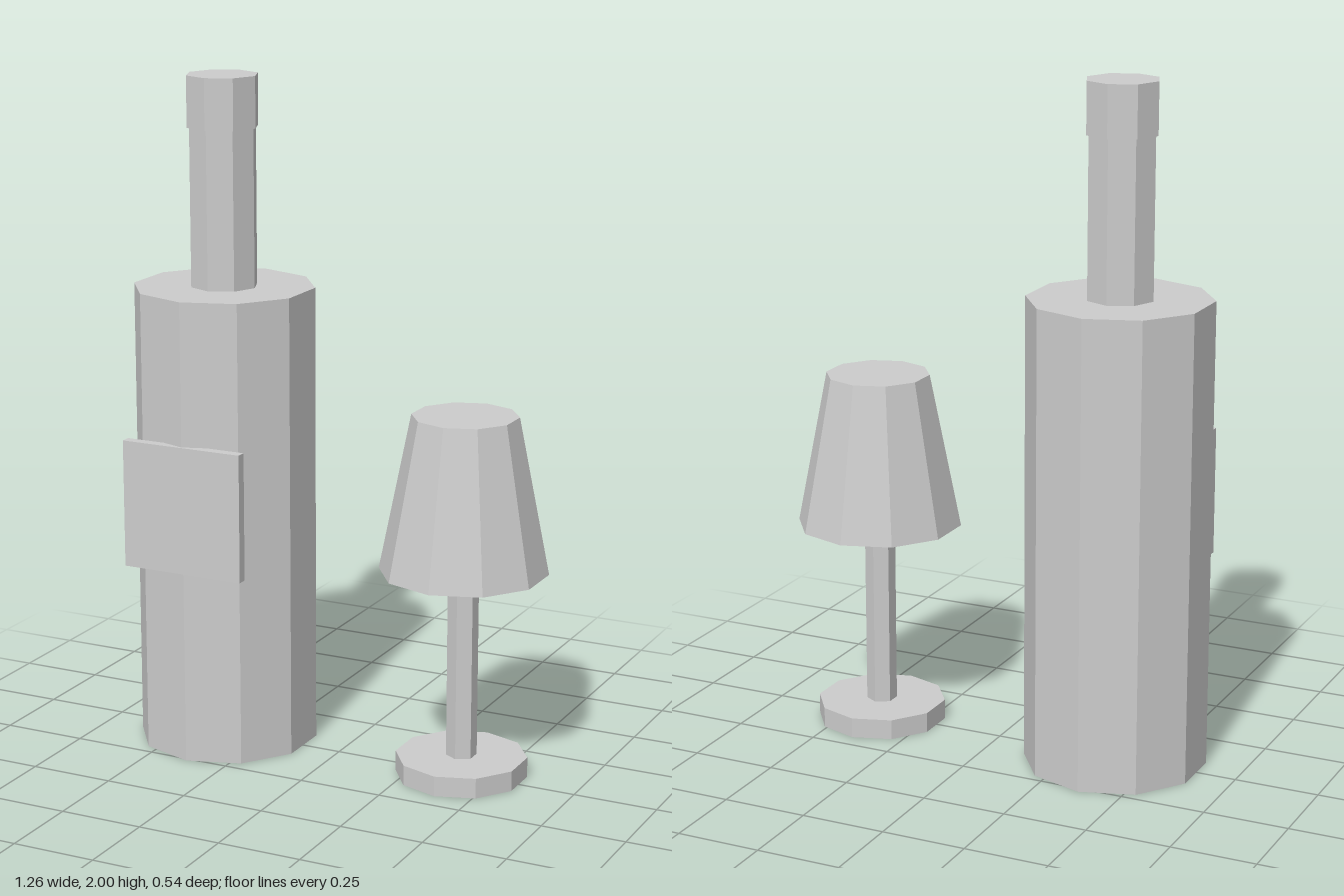
import * as THREE from 'three';

export function createModel() {
  const model = new THREE.Group();
  const grey = new THREE.MeshStandardMaterial({ color: 0xcccccc });
  grey.name = 'light grey';

  const add = (parent, name, geometry, x, y, z) => {
    // Split vertices so every facet is flat
    const flat = geometry.toNonIndexed();
    flat.computeVertexNormals();
    const mesh = new THREE.Mesh(flat, grey);
    mesh.name = name;
    mesh.position.set(x, y, z);
    parent.add(mesh);
  };

  // Faceted prism or frustum standing between two heights
  const prism = (parent, name, rTop, rBottom, y0, y1, sides) =>
    add(parent, name, new THREE.CylinderGeometry(rTop, rBottom, y1 - y0, sides), 0, (y0 + y1) / 2, 0);

  // Bottle with neck, cap and a flat label on the front
  const bottle = new THREE.Group();
  bottle.name = 'bottle';
  bottle.position.set(-0.375, 0, -0.005);
  prism(bottle, 'bottleBody', 0.268, 0.268, 0, 1.385, 10);
  prism(bottle, 'bottleNeck', 0.1, 0.1, 1.385, 1.85, 8);
  prism(bottle, 'bottleCap', 0.107, 0.107, 1.85, 2, 8);
  add(bottle, 'label', new THREE.BoxGeometry(0.38, 0.38, 0.03), 0, 0.77, 0.26);

  // Stemmed glass with a solid bowl, wider at its bottom
  const glass = new THREE.Group();
  glass.name = 'glass';
  glass.position.set(0.395, 0, -0.005);
  prism(glass, 'glassFoot', 0.193, 0.193, 0, 0.06, 10);
  prism(glass, 'glassStem', 0.045, 0.045, 0.06, 0.62, 6);
  prism(glass, 'glassBowl', 0.154, 0.245, 0.62, 1.08, 10);

  model.add(bottle, glass);
  return model;
}
